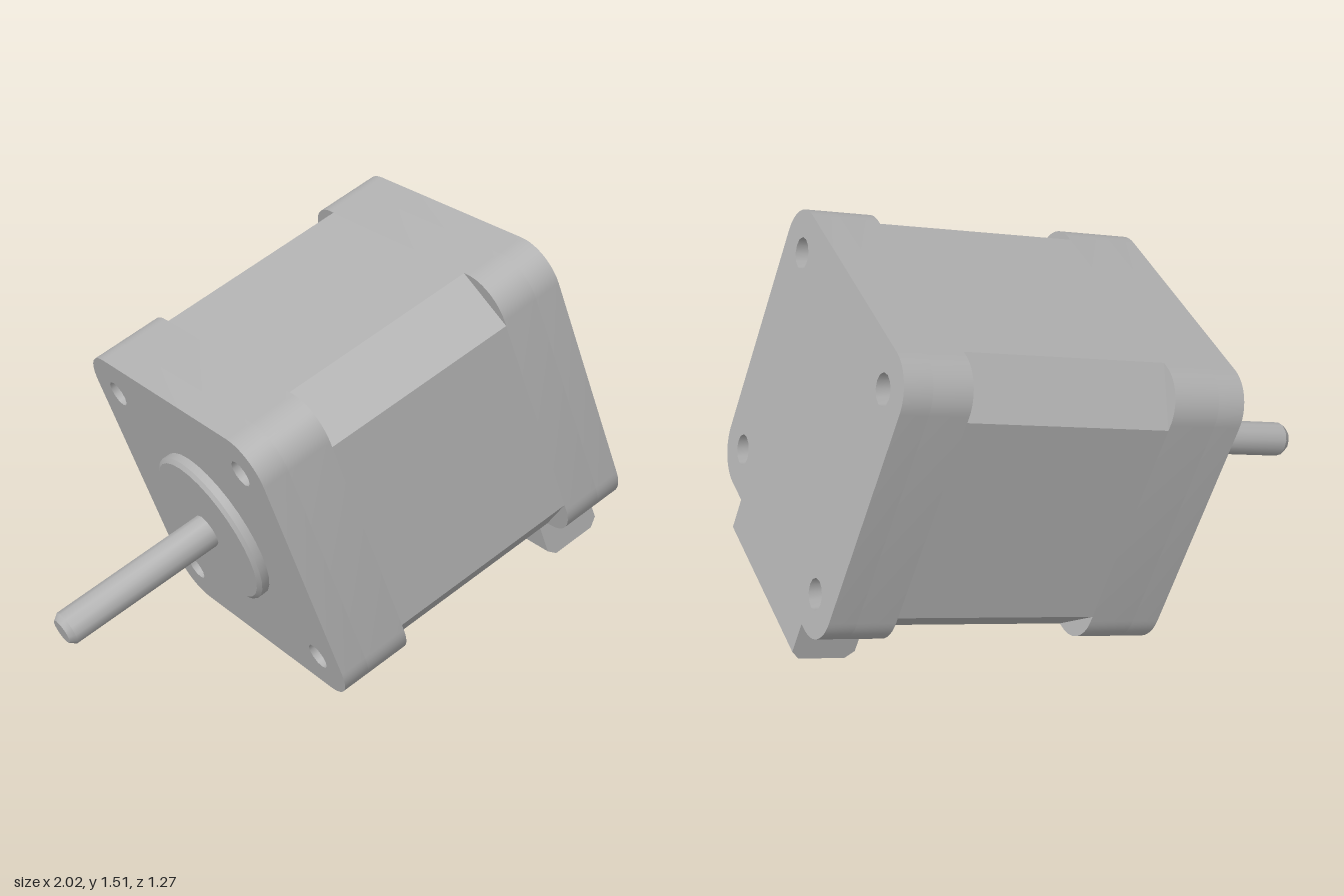
import * as THREE from 'three';
import { toCreasedNormals } from 'three/addons/utils/BufferGeometryUtils.js';

const HALF = 0.55, LENGTH = 1.25, PITCH = 0.405;

export function createModel() {
  const grey = new THREE.MeshStandardMaterial({ color: 0xb2b2b2 });
  grey.name = 'plain grey';

  // Motor frame: z runs from the front face to the rear, y is the motor's up
  const motor = new THREE.Group();
  motor.name = 'motor';

  const add = (geometry, name) => {
    const mesh = new THREE.Mesh(toCreasedNormals(geometry, 0.6), grey);
    mesh.name = name;
    motor.add(mesh);
    return mesh;
  };

  // Square outline with rounded corners
  const roundedSquare = (radius, holeRadius = 0) => {
    const s = new THREE.Shape();
    const k = HALF - radius;
    [[k, k], [-k, k], [-k, -k], [k, -k]].forEach(([x, y], i) =>
      s.absarc(x, y, radius, i * Math.PI / 2, (i + 1) * Math.PI / 2, false));
    s.closePath();
    if (holeRadius) {
      for (const x of [-PITCH, PITCH]) for (const y of [-PITCH, PITCH]) {
        s.holes.push(new THREE.Path().absarc(x, y, holeRadius, 0, Math.PI * 2, true));
      }
    }
    return s;
  };

  // Square outline with straight-cut corners
  const cutSquare = (cut) => {
    const k = HALF - cut, h = HALF;
    return new THREE.Shape([[h, -k], [h, k], [k, h], [-k, h], [-h, k], [-h, -k], [-k, -h], [k, -h]]
      .map(([x, y]) => new THREE.Vector2(x, y)));
  };

  const slab = (shape, from, to, name) => {
    const g = new THREE.ExtrudeGeometry(shape, { depth: to - from, bevelEnabled: false, curveSegments: 6 });
    add(g.translate(0, 0, from), name);
  };

  // Housing: two end caps with screw holes around the chamfered core
  slab(roundedSquare(0.14, 0.048), 0, 0.1, 'frontPlate');
  slab(roundedSquare(0.14), 0.1, 0.27, 'frontCap');
  slab(cutSquare(0.16), 0.27, 1.01, 'core');
  slab(roundedSquare(0.14), 1.01, LENGTH - 0.1, 'rearCap');
  slab(roundedSquare(0.14, 0.054), LENGTH - 0.1, LENGTH, 'rearPlate');

  // Turned parts on the front, profile given as [radius, distance from the face]
  const turned = (profile, sides, name) => {
    const g = new THREE.LatheGeometry(profile.map(([r, d]) => new THREE.Vector2(r, d)), sides);
    add(g.rotateX(-Math.PI / 2), name);
  };
  turned([[0.29, 0], [0.29, 0.03], [0.275, 0.042], [0, 0.042]], 32, 'pilotDisc');
  turned([[0.062, 0], [0.062, 0.635], [0.046, 0.657], [0, 0.657]], 12, 'shaft');

  // Cable connector below the rear cap, cross-section in (z, y)
  const section = new THREE.Shape([[1.0, -0.54], [1.0, -0.7], [1.03, -0.73], [1.2, -0.73],
    [1.23, -0.7], [1.23, -0.54]].map(([z, y]) => new THREE.Vector2(z, y)));
  const connector = new THREE.ExtrudeGeometry(section, { depth: 0.69, bevelEnabled: false });
  connector.rotateY(-Math.PI / 2).translate(0.345, 0, 0);
  add(connector, 'connector');

  // Tilted pose of the whole motor
  const axis = new THREE.Vector3(0.9656, 0.258, -0.032).normalize();
  const side = new THREE.Vector3(0.01, -0.173, -0.985);
  const up = new THREE.Vector3().crossVectors(axis, side).normalize();
  side.crossVectors(up, axis);
  motor.quaternion.setFromRotationMatrix(new THREE.Matrix4().makeBasis(side, up, axis));
  motor.position.set(-0.352, 0.596, 0.028);

  const model = new THREE.Group();
  model.name = 'model';
  model.add(motor);
  return model;
}
